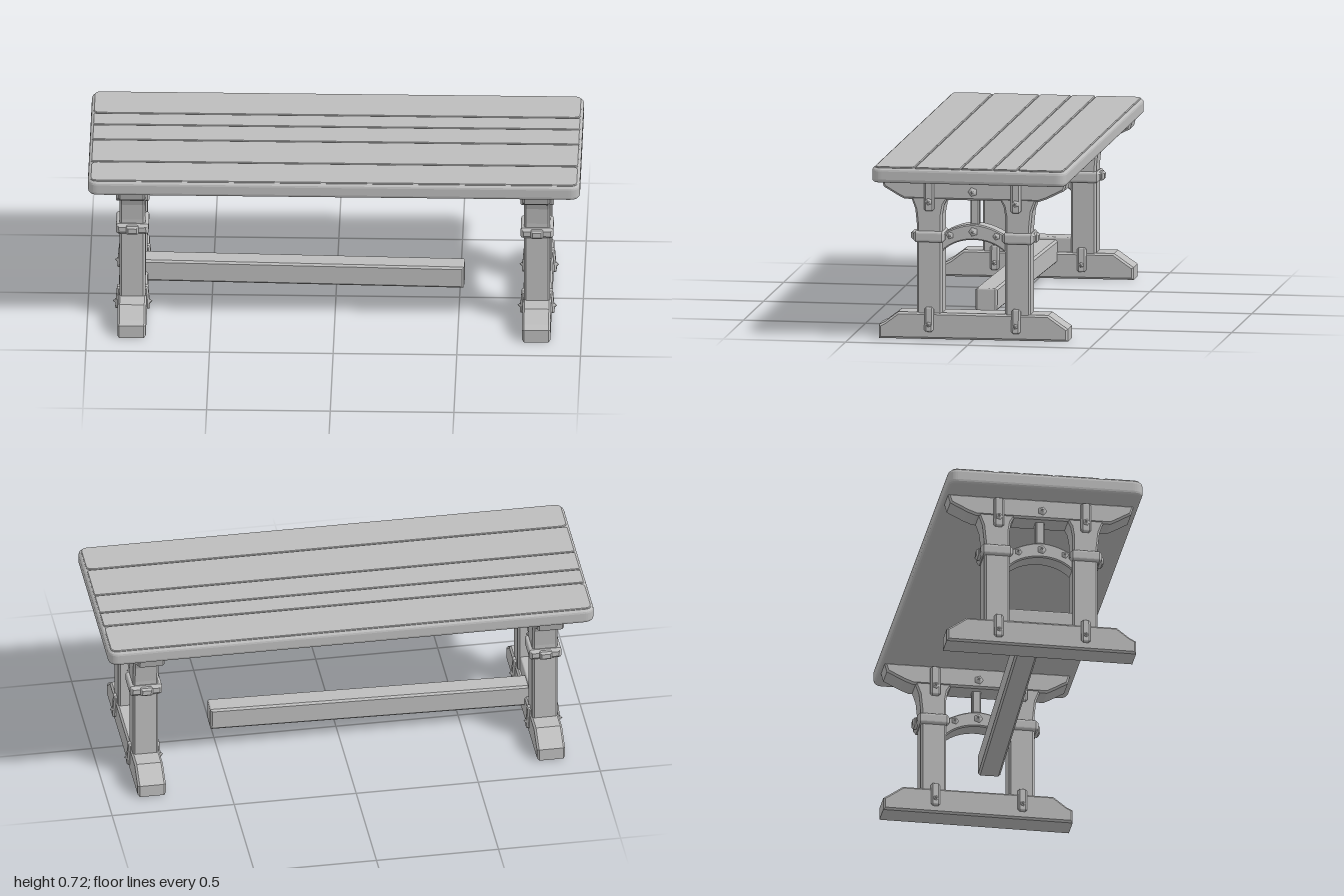
import * as THREE from 'three';

const wood = new THREE.MeshStandardMaterial({ color: 0xbdbdbd });
wood.name = 'pale grey wood';

function add(group, name, geometry, x = 0, y = 0, z = 0) {
  const mesh = new THREE.Mesh(geometry, wood);
  mesh.name = name;
  mesh.position.set(x, y, z);
  group.add(mesh);
  return mesh;
}

// Bevelled extrusion centred on its depth; the outline keeps its full size
function solid(shape, depth, bevel, segments = 1) {
  const g = new THREE.ExtrudeGeometry(shape, {
    depth: depth - 2 * bevel, bevelEnabled: true, bevelThickness: bevel,
    bevelSize: bevel, bevelOffset: -bevel, bevelSegments: segments, curveSegments: 10,
  });
  return g.translate(0, 0, -depth / 2 + bevel);
}

// Outline given as [z, y] pairs, extruded across x
function sidePiece(points, width, bevel = 0.008) {
  const shape = new THREE.Shape(points.map(([z, y]) => new THREE.Vector2(z, y)));
  return solid(shape, width, bevel).rotateY(-Math.PI / 2);
}

function roundedRect(x0, y0, x1, y1, r) {
  const s = new THREE.Shape();
  s.moveTo(x0 + r, y0);
  s.lineTo(x1 - r, y0);
  s.quadraticCurveTo(x1, y0, x1, y0 + r);
  s.lineTo(x1, y1 - r);
  s.quadraticCurveTo(x1, y1, x1 - r, y1);
  s.lineTo(x0 + r, y1);
  s.quadraticCurveTo(x0, y1, x0, y1 - r);
  s.lineTo(x0, y0 + r);
  s.quadraticCurveTo(x0, y0, x0 + r, y0);
  return s;
}

function block(w, h, d, bevel = 0.008) {
  return solid(roundedRect(-w / 2, -h / 2, w / 2, h / 2, bevel), d, bevel);
}

function createTrestle() {
  const g = new THREE.Group();

  // Foot with sloping toes and top rail with tapered ends
  add(g, 'foot', sidePiece([
    [-0.39, 0.004], [0.385, 0], [0.385, 0.055], [0.36, 0.068], [0.305, 0.11],
    [-0.31, 0.11], [-0.37, 0.068], [-0.39, 0.055],
  ], 0.115));
  add(g, 'topRail', sidePiece([
    [-0.27, 0.572], [0.28, 0.572], [0.305, 0.585], [0.365, 0.62], [0.375, 0.658],
    [-0.385, 0.658], [-0.375, 0.62], [-0.305, 0.585],
  ], 0.11));

  // Arched brace with a short post above it
  const arch = new THREE.Shape();
  arch.moveTo(0.135, 0.35);
  arch.lineTo(0.135, 0.425);
  arch.quadraticCurveTo(0.07, 0.47, 0, 0.473);
  arch.quadraticCurveTo(-0.07, 0.47, -0.14, 0.425);
  arch.lineTo(-0.14, 0.35);
  arch.quadraticCurveTo(-0.09, 0.407, 0, 0.409);
  arch.quadraticCurveTo(0.085, 0.407, 0.135, 0.35);
  add(g, 'archedBrace', solid(arch, 0.08, 0.005).rotateY(-Math.PI / 2));
  add(g, 'centrePost', block(0.04, 0.12, 0.037, 0.005), 0, 0.52, -0.003);

  for (const s of [1, -1]) {
    const o = s > 0 ? 0 : 0.007;
    // Leg flaring into the top rail
    add(g, 'leg', sidePiece([
      [0.125, 0.09], [0.229, 0.09], [0.229, 0.46], [0.236, 0.53], [0.255, 0.585],
      [0.1, 0.585], [0.118, 0.55], [0.125, 0.51],
    ].map(([z, y]) => [s * (z + o), y]), 0.104));

    // Collar around the leg and its outer knob
    add(g, 'collar', block(0.132, 0.045, 0.132, 0.012), 0, 0.42, s * (0.179 + o));
    add(g, 'collarKnob', block(0.05, 0.036, 0.035), 0, 0.42, s * (0.24 + o));

    for (const side of [1, -1]) {
      // Tapered wedges pinning the joints on both faces
      add(g, 'upperWedge', block(0.025, 0.125, 0.042), side * 0.055, 0.588, s * 0.178);
      const wedge = add(g, 'lowerWedge', block(0.022, 0.1, 0.038), side * 0.056, 0.082, s * 0.178);
      wedge.rotation.z = side * 0.08;
      const peg = new THREE.ConeGeometry(0.019, 0.02, 5).rotateZ(-side * Math.PI / 2);
      add(g, 'wedgePeg', peg, side * 0.073, 0.565, s * 0.178);
      add(g, 'footPeg', peg, side * 0.07, 0.062, s * 0.178);
      add(g, 'archPeg', peg, side * 0.046, 0.425, s * 0.095);
    }
  }

  // Centre pegs on both faces
  for (const side of [1, -1]) {
    const peg = new THREE.ConeGeometry(0.021, 0.022, 5).rotateZ(-side * Math.PI / 2);
    add(g, 'railPeg', peg, side * 0.064, 0.607, 0);
    add(g, 'archCentrePeg', peg, side * 0.049, 0.442, 0);
  }
  return g;
}

export function createModel() {
  const model = new THREE.Group();
  model.name = 'trestleTable';

  // Thick rounded top
  const slab = solid(roundedRect(-0.995, -0.397, 0.995, 0.4, 0.045), 0.061, 0.014, 3);
  add(model, 'tabletop', slab.rotateX(-Math.PI / 2), 0, 0.6845, 0);

  // Thin plank faces with narrow seams between them
  const seams = [-0.39, -0.2, -0.1, 0.03, 0.22, 0.387];
  for (let i = 0; i < seams.length - 1; i++) {
    const z0 = seams[i] + 0.002, z1 = seams[i + 1] - 0.002;
    const end = i === 0 || i === seams.length - 2;
    const shape = roundedRect(-0.985, -z1, 0.985, -z0, end ? 0.03 : 0.008);
    add(model, 'plank', solid(shape, 0.008, 0.003).rotateX(-Math.PI / 2), 0, 0.7155, 0);
  }

  // Two trestles
  for (const s of [1, -1]) {
    const trestle = createTrestle();
    trestle.name = s > 0 ? 'leftTrestle' : 'rightTrestle';
    trestle.position.x = s * 0.818;
    model.add(trestle);
  }

  // Stretcher held by one trestle, its other end free, slightly skewed
  add(model, 'stretcherSocket', block(0.085, 0.07, 0.28), -0.818, 0.135, 0);
  const stretcher = add(model, 'stretcher', block(1.35, 0.094, 0.09), -0.155, 0.112, -0.015);
  stretcher.rotation.y = -0.027;

  return model;
}
